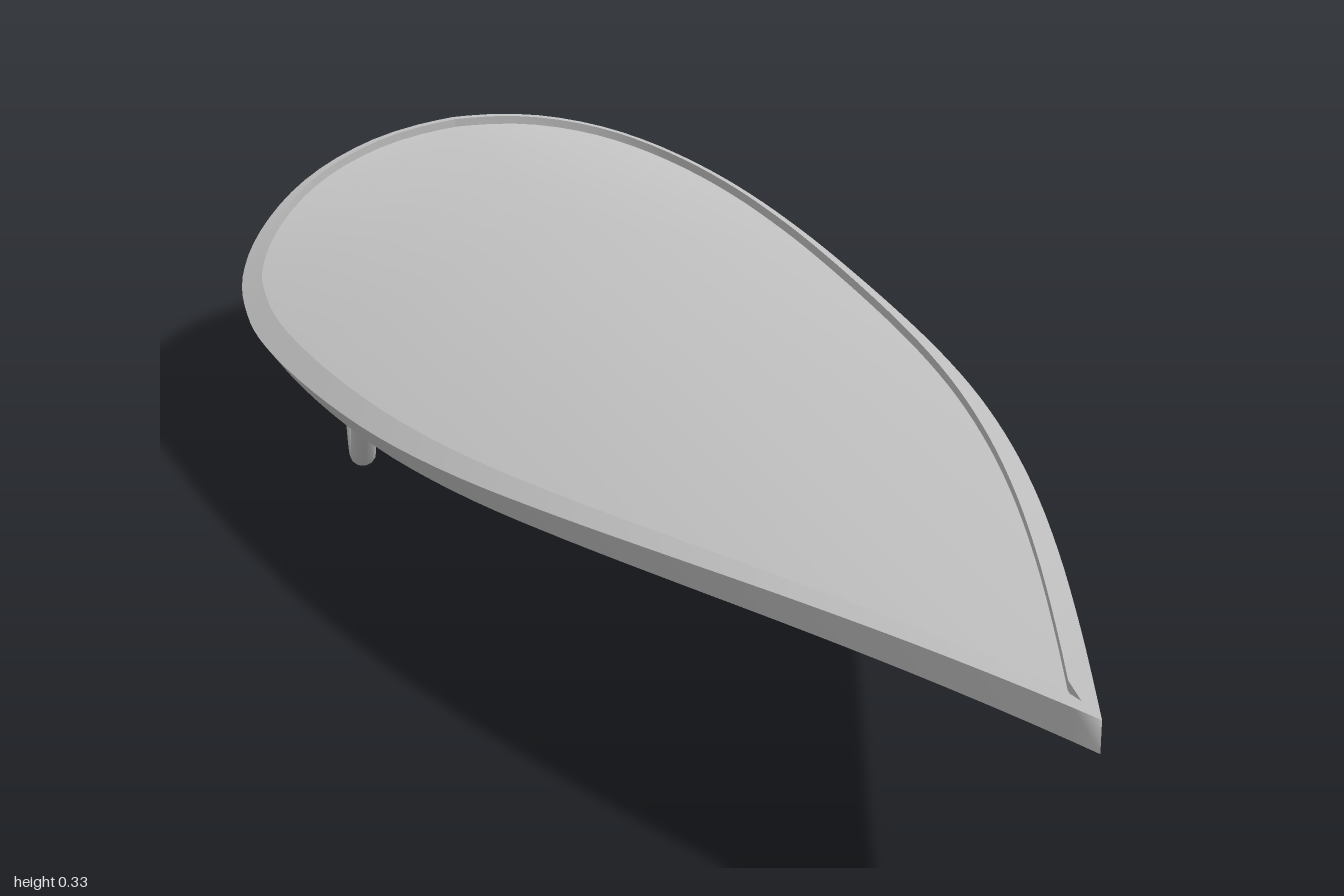
import * as THREE from 'three';

const STEPS = 56;
const CENTRE_Y = -0.432; // axis height of the shield's curvature
const R_RIM = 0.76, R_PANEL = 0.748, R_UNDER = 0.719;

// Smooth grid surface; its front faces along (row direction x column direction)
function surface(rows, name, material) {
  const cols = rows[0].length, index = [];
  for (let r = 0; r < rows.length - 1; r++) {
    for (let c = 0; c < cols - 1; c++) {
      const a = r * cols + c, b = a + 1, d = a + cols, e = d + 1;
      index.push(a, d, b, b, d, e);
    }
  }
  const geometry = new THREE.BufferGeometry().setFromPoints(rows.flat());
  geometry.setIndex(index);
  geometry.computeVertexNormals();
  const mesh = new THREE.Mesh(geometry, material);
  mesh.name = name;
  return mesh;
}

// Point at a given x on the curved sheet of radius r
const onArc = (x, z, r) => new THREE.Vector3(x, CENTRE_Y + Math.sqrt(r * r - x * x), z);
const mirrorX = (p) => new THREE.Vector3(-p.x, p.y, p.z);

export function createModel() {
  const model = new THREE.Group();
  model.name = 'kiteShield';
  const steel = new THREE.MeshStandardMaterial({ color: 0xc0c0c0 });
  steel.name = 'light grey';

  // Half outline (x, z) from the round top to the pointed tip
  const outline = new THREE.SplineCurve([
    [0, -1], [0.13, -0.986], [0.25, -0.945], [0.34, -0.875], [0.395, -0.79],
    [0.42, -0.69], [0.427, -0.58], [0.418, -0.4], [0.395, -0.2], [0.356, 0],
    [0.302, 0.2], [0.237, 0.4], [0.163, 0.6], [0.083, 0.8], [0, 1],
  ].map(([x, z]) => new THREE.Vector2(x, z)));

  // Rim cross-sections: panel edge, inner lip, outer lip, lower edge
  const half = [];
  for (let i = 0; i <= STEPS; i++) {
    const p = outline.getPoint(i / STEPS), t = outline.getTangent(i / STEPS);
    let x = Math.max(0, p.x - 0.03 * t.y), z = p.y + 0.01 * t.x;
    if (i === 0) { x = 0; z = -0.99; }
    if (i === STEPS) { x = 0; z = 0.955; }
    z = Math.min(z, 0.955);
    const under = R_UNDER / R_RIM;
    half.push([
      onArc(x, z, R_PANEL), onArc(x, z, R_RIM),
      onArc(p.x, p.y, R_RIM), onArc(p.x * under, p.y, R_UNDER),
    ]);
  }
  const loop = [...half, ...half.slice(0, -1).reverse().map((s) => s.map(mirrorX))];

  // Rim faces, kept separate so their edges stay sharp
  ['rimInnerStep', 'rimLip', 'rimOuterEdge'].forEach((name, k) => {
    model.add(surface(loop.map((s) => [s[k], s[k + 1]]), name, steel));
  });

  // Face and back panels, spanning from the centre ridge to the rim
  const ridge = (z, r) => onArc(0, z, r);
  model.add(surface(half.map(([p]) => [mirrorX(p), ridge(p.z, R_PANEL), p]), 'facePanel', steel));
  model.add(surface(half.map((s) => [s[3], ridge(s[3].z, R_UNDER), mirrorX(s[3])]), 'backPanel', steel));

  // Hand grips: a bent bar between two flared feet
  const footProfile = [[0.016, -0.032], [0.022, -0.027], [0.033, -0.014], [0.033, 0], [0, 0]]
    .map(([x, y]) => new THREE.Vector2(x, y));
  function grip(name, front, back) {
    const group = new THREE.Group();
    group.name = name;
    const bend = [
      [0, front.y - 0.01], [0.08, 0.17], [0.22, 0.09], [0.42, 0.024],
      [0.58, 0.024], [0.78, 0.085], [0.93, 0.175], [1, back.y - 0.01],
    ].map(([t, y]) => new THREE.Vector3().lerpVectors(front, back, t).setY(y));
    const bar = new THREE.Mesh(
      new THREE.TubeGeometry(new THREE.CatmullRomCurve3(bend), 32, 0.018, 12), steel);
    bar.name = 'gripBar';
    group.add(bar);
    for (const end of [front, back]) {
      const foot = new THREE.Mesh(new THREE.LatheGeometry(footProfile, 16), steel);
      foot.name = 'gripFoot';
      foot.position.copy(end);
      group.add(foot);
    }
    model.add(group);
  }
  grip('centreGrip', new THREE.Vector3(-0.105, 0.26, -0.255), new THREE.Vector3(-0.006, 0.284, -0.595));
  grip('sideGrip', new THREE.Vector3(-0.343, 0.195, -0.41), new THREE.Vector3(-0.25, 0.218, -0.755));

  return model;
}
